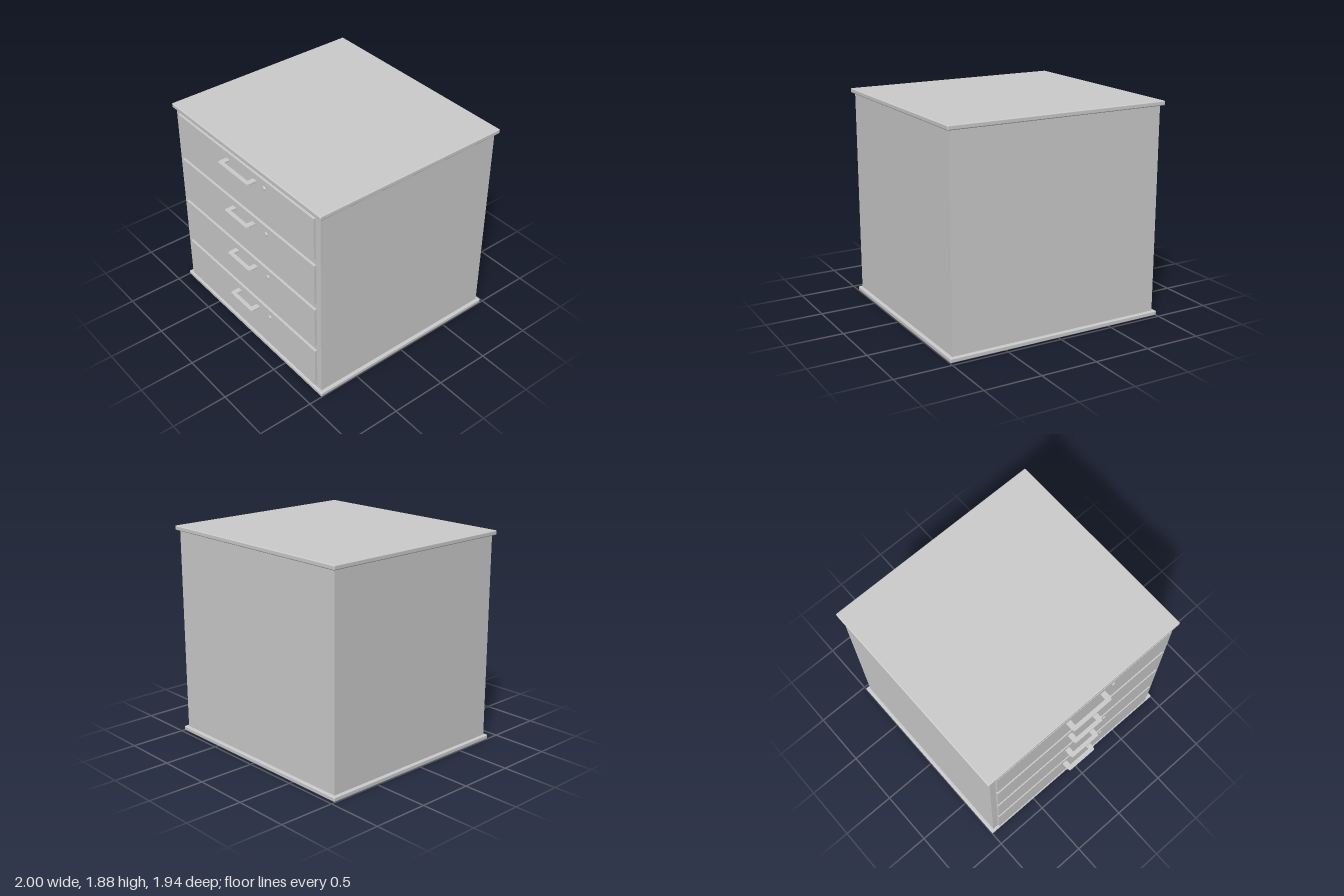
import * as THREE from 'three';
import { RoundedBoxGeometry } from 'three/addons/geometries/RoundedBoxGeometry.js';

const material = new THREE.MeshStandardMaterial({ color: 0xcccccc });

function add(parent, name, geometry, x, y, z) {
  const mesh = new THREE.Mesh(geometry, material);
  mesh.name = name;
  mesh.position.set(x, y, z);
  parent.add(mesh);
  return mesh;
}

// Flat U-shaped pull: drawn in plan (x, depth), then extruded upwards
function handleGeometry(halfWidth) {
  const w = halfWidth, depth = 0.09, height = 0.015;
  const arm = 0.047, bar = 0.036, chamferX = 0.012, chamferZ = 0.025;
  const shape = new THREE.Shape([
    [-w, 0], [-w + arm, 0], [-w + arm, depth - bar], [w - arm, depth - bar],
    [w - arm, 0], [w, 0], [w, depth - chamferZ], [w - chamferX, depth],
    [-w + chamferX, depth], [-w, depth - chamferZ],
  ].map(([x, z]) => new THREE.Vector2(x, z)));
  const geometry = new THREE.ExtrudeGeometry(shape, { depth: height, bevelEnabled: false });
  geometry.translate(0, 0, -height / 2);
  geometry.rotateX(Math.PI / 2);
  return geometry;
}

export function createModel() {
  const model = new THREE.Group();
  model.name = 'drawerCabinet';

  // Carcass between two overhanging slabs
  const slab = new RoundedBoxGeometry(2, 0.04, 1.85, 3, 0.009);
  add(model, 'bottomSlab', slab, 0, 0.02, -0.045);
  add(model, 'topSlab', slab, 0, 1.86, -0.045);
  add(model, 'cabinetBody', new THREE.BoxGeometry(1.94, 1.8, 1.795), 0, 0.94, -0.0425);

  // Four drawers; the top one has a wider handle
  const front = new THREE.BoxGeometry(1.83, 0.39, 0.03);
  const lock = new THREE.SphereGeometry(0.02, 24, 8, 0, Math.PI * 2, 0, Math.PI / 2);
  lock.rotateX(Math.PI / 2);
  lock.scale(1, 1, 0.5);
  for (let i = 0; i < 4; i++) {
    const drawer = new THREE.Group();
    drawer.name = `drawer${i + 1}`;
    drawer.position.y = 0.265 + i * 0.45;
    add(drawer, 'drawerFront', front, 0, 0, 0.862);
    add(drawer, 'handle', handleGeometry(i === 3 ? 0.205 : 0.157), -0.002, 0.13, 0.877);
    add(drawer, 'lock', lock, 0.3, 0.122, 0.877);
    model.add(drawer);
  }
  return model;
}
